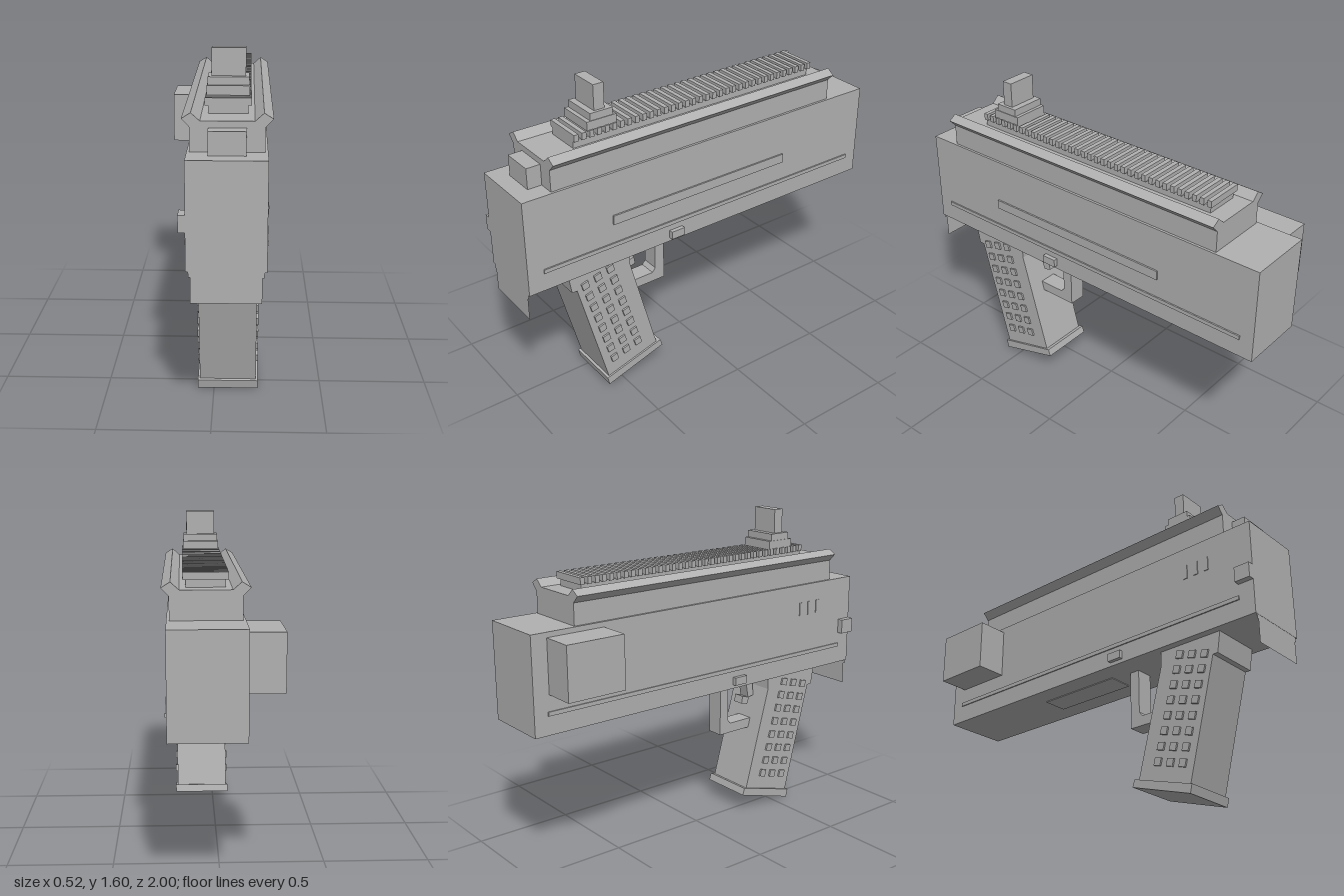
import * as THREE from 'three';

export function createModel() {
  const model = new THREE.Group();
  const grey = new THREE.MeshStandardMaterial({ color: 0xb0b0b0 });
  const greySheet = new THREE.MeshStandardMaterial({ color: 0xb0b0b0, side: THREE.DoubleSide });
  const MID = 0.065; // x of the centre plane

  const add = (name, geometry, material = grey) => {
    const mesh = new THREE.Mesh(geometry, material);
    mesh.name = name;
    model.add(mesh);
    return mesh;
  };
  // Box given by its extents
  const box = (name, x0, x1, y0, y1, z0, z1) =>
    add(name, new THREE.BoxGeometry(x1 - x0, y1 - y0, z1 - z0)
      .translate((x0 + x1) / 2, (y0 + y1) / 2, (z0 + z1) / 2));
  const shapeOf = (points) => new THREE.Shape(points.map(([a, b]) => new THREE.Vector2(a, b)));
  // Side profile of [z, y] points, extruded across x about the centre plane
  const sideProfile = (name, points, width) =>
    add(name, new THREE.ExtrudeGeometry(shapeOf(points), { depth: width, bevelEnabled: false })
      .rotateY(-Math.PI / 2).translate(MID + width / 2, 0, 0));

  // Main body and the blocks fixed to it
  box('body', -0.105, 0.235, 0.73, 1.205, -1, 1);
  box('sideBlock', -0.265, -0.105, 0.92, 1.18, -0.92, -0.62);
  box('sideKnob', -0.135, -0.105, 0.9, 0.975, 0.92, 1);
  box('frontBlock', -0.015, 0.145, 1.205, 1.307, 0.85, 0.92);
  box('crossPin', -0.125, 0.256, 0.749, 0.79, 0.158, 0.233);
  box('lowerStrip', -0.111, 0.242, 0.822, 0.842, -0.93, 0.92);
  box('upperStrip', 0.235, 0.243, 0.94, 0.987, -0.47, 0.55);
  box('bottomPlate', 0, 0.13, 0.726, 0.73, -0.38, 0.08);
  for (const z of [0.63, 0.69, 0.75]) {
    box('sideSlot', -0.109, -0.105, 1.04, 1.11, z - 0.012, z + 0.012);
  }

  // Thin sheet hanging below the front of the body
  add('hangingPlate', new THREE.ShapeGeometry(shapeOf([
    [-0.085, 0.592], [0.215, 0.592], [0.215, 0.706], [0.224, 0.706],
    [0.224, 0.73], [-0.094, 0.73], [-0.094, 0.706], [-0.085, 0.706],
  ])).translate(0, 0, 0.999), greySheet);

  // Top cover with flared edges
  const half = [[0.158, 1.205], [0.158, 1.31], [0.192, 1.345], [0.152, 1.37], [0.114, 1.336]];
  const cover = [...half, ...half.map(([x, y]) => [-x, y]).reverse()];
  add('topCover', new THREE.ExtrudeGeometry(shapeOf(cover), { depth: 1.62, bevelEnabled: false })
    .translate(MID, 0, -0.77));

  // Toothed rail
  box('railBase', -0.022, 0.152, 1.33, 1.373, -0.683, 0.688);
  for (let i = 0; i < 35; i++) {
    const z = 0.677 - i * 0.04;
    box('railTooth', -0.035, 0.165, 1.37, 1.403, z - 0.011, z + 0.011);
  }

  // Stepped sight
  box('sightBase', -0.03, 0.158, 1.4, 1.443, 0.463, 0.617);
  box('sightStep', -0.026, 0.155, 1.443, 1.478, 0.48, 0.597);
  box('sightPost', -0.01, 0.14, 1.478, 1.6, 0.513, 0.567);

  // Slanted grip with its foot
  sideProfile('grip', [
    [0.78, 0.73], [0.763, 0.626], [0.736, 0.626], [0.58, 0.03],
    [0.29, 0.115], [0.44, 0.66], [0.44, 0.73],
  ], 0.262);
  sideProfile('gripFoot', [[0.597, 0.043], [0.587, 0], [0.262, 0.098], [0.274, 0.134]], 0.28);

  // Raised studs on both sides of the grip
  const stud = new THREE.BoxGeometry(0.28, 0.037, 0.037);
  for (let row = 0; row < 8; row++) {
    for (let col = 0; col < 3; col++) {
      const mesh = add('gripStud', stud);
      mesh.position.set(MID, 0.642 - row * 0.0703 + col * 0.0191, 0.693 - row * 0.0206 - col * 0.0697);
      mesh.rotation.x = 0.27;
    }
  }

  // Lever and its guard
  sideProfile('lever', [
    [0.414, 0.73], [0.366, 0.73], [0.388, 0.6], [0.35, 0.612],
    [0.343, 0.572], [0.382, 0.561], [0.396, 0.6], [0.425, 0.605],
  ], 0.06);
  sideProfile('leverGuard', [
    [0.233, 0.73], [0.233, 0.508], [0.25, 0.486], [0.4, 0.486],
    [0.39, 0.435], [0.18, 0.435], [0.18, 0.73],
  ], 0.09);

  return model;
}
